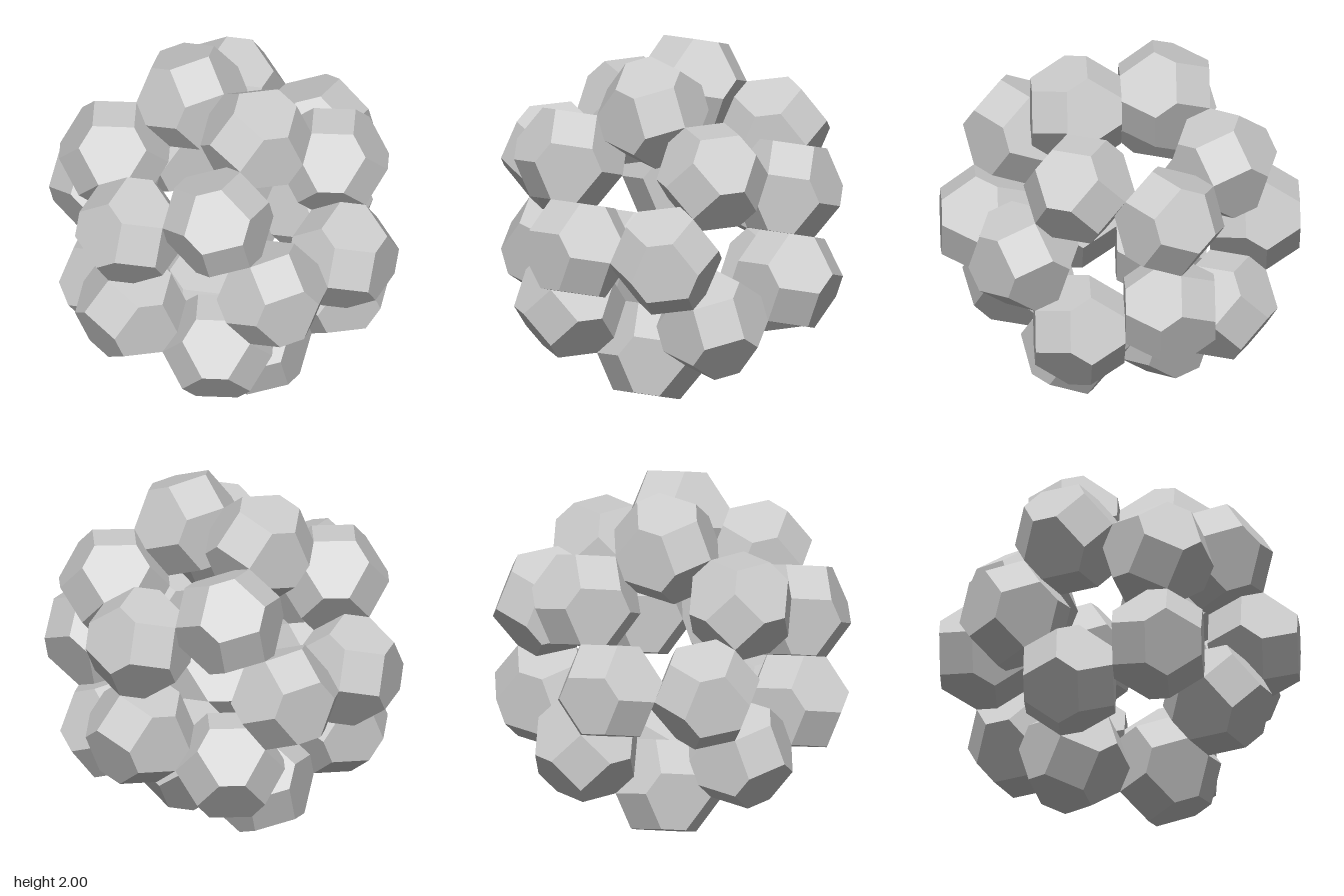
import * as THREE from 'three';
import { ConvexGeometry } from 'three/addons/geometries/ConvexGeometry.js';

const PHI = (1 + Math.sqrt(5)) / 2;
const S = 0.4331; // half edge of the cube inscribed in the dodecahedral arrangement

// Octahedron with its corners cut off: all permutations of (0, ±r, ±q)
function cellGeometry() {
  const q = S / PHI, r = S / (PHI * PHI);
  const points = [];
  for (const a of [-1, 1]) for (const b of [-1, 1]) {
    for (const [u, v] of [[a * q, b * r], [a * r, b * q]]) {
      points.push(
        new THREE.Vector3(0, u, v),
        new THREE.Vector3(u, 0, v),
        new THREE.Vector3(u, v, 0)
      );
    }
  }
  return new ConvexGeometry(points);
}

export function createModel() {
  const model = new THREE.Group();
  model.name = 'polyhedronCluster';
  const geometry = cellGeometry();
  const material = new THREE.MeshStandardMaterial({ color: 0xcccccc, flatShading: true });

  // Four cells on a tetrahedron, turned five times about a fivefold axis,
  // fill all twenty corners of a dodecahedron
  const axis = new THREE.Vector3(1, PHI, 0).normalize();
  const corners = [[1, 1, 1], [-1, -1, 1], [1, -1, -1], [-1, 1, -1]];
  for (let k = 0; k < 5; k++) {
    const ring = new THREE.Group();
    ring.name = `tetrahedralSet${k + 1}`;
    ring.position.y = 1;
    ring.quaternion.setFromAxisAngle(axis, (k * 2 * Math.PI) / 5);
    corners.forEach(([x, y, z], i) => {
      const cell = new THREE.Mesh(geometry, material);
      cell.name = `truncatedOctahedron${k * 4 + i + 1}`;
      cell.position.set(x * S, y * S, z * S);
      ring.add(cell);
    });
    model.add(ring);
  }
  return model;
}
